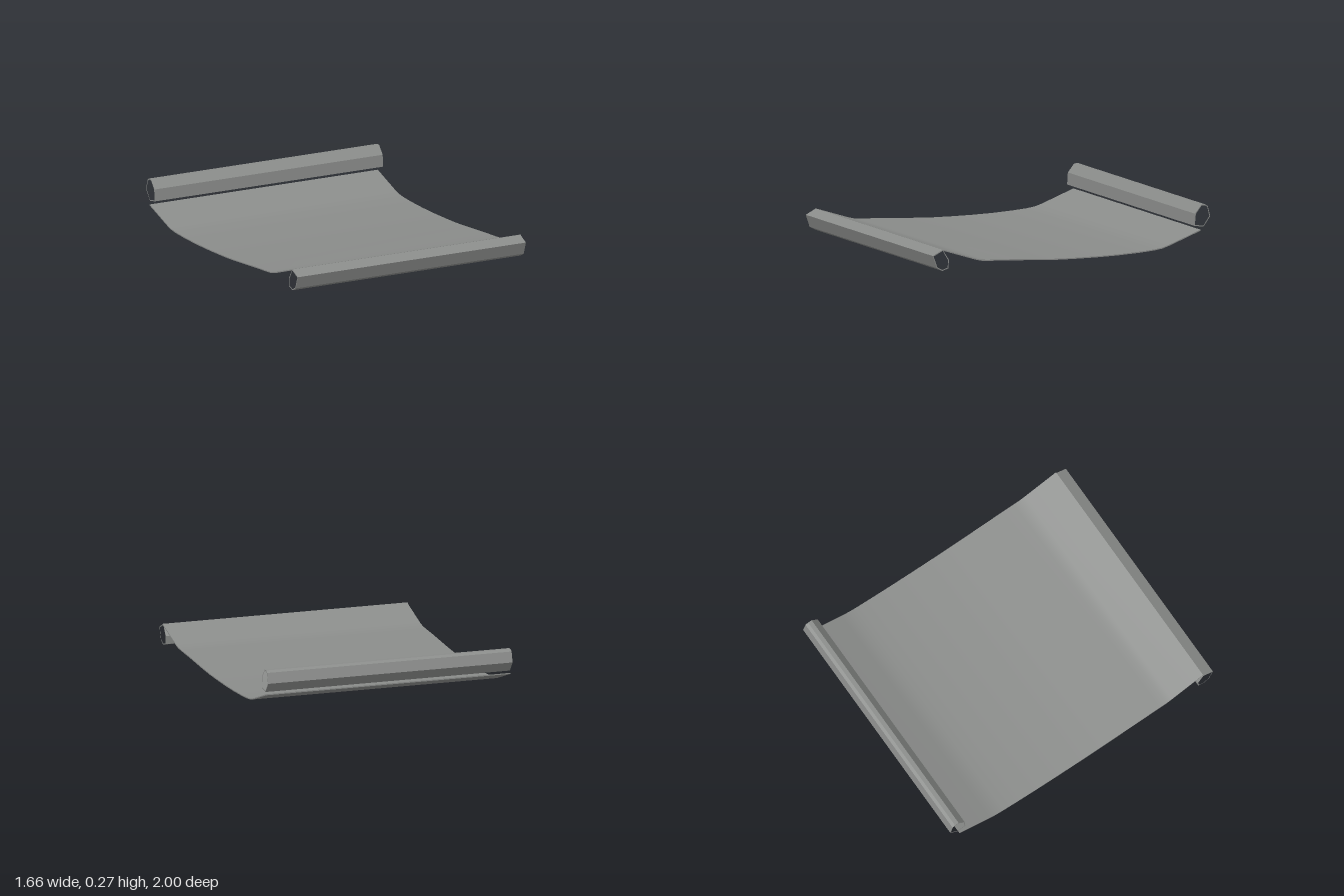
import * as THREE from 'three';
import { toCreasedNormals } from 'three/addons/utils/BufferGeometryUtils.js';

const THICK = 0.007;

// Profiles are [z, y] points; they are drawn in a plane and extruded along x.
const toPlane = (points) => points.map(([z, y]) => new THREE.Vector2(-z, y));

function extrudeAlongX(shape, x0, x1) {
  const geometry = new THREE.ExtrudeGeometry(shape, { depth: x1 - x0, bevelEnabled: false });
  geometry.rotateY(Math.PI / 2);
  geometry.translate(x0, 0, 0);
  return geometry;
}

// Hollow faceted tube: the inner wall is the outline shrunk towards its centre
function rollGeometry(profile, x0, x1) {
  const outer = toPlane(profile);
  const centre = outer.reduce((sum, p) => sum.add(p), new THREE.Vector2()).divideScalar(outer.length);
  const inner = outer.map((p) => p.clone().lerp(centre, THICK / p.distanceTo(centre)));
  const shape = new THREE.Shape(outer);
  shape.holes.push(new THREE.Path(inner));
  return extrudeAlongX(shape, x0, x1);
}

// Thin sagging sheet with smooth top and bottom
function sheetGeometry(profile, x0, x1) {
  const top = toPlane(profile);
  const bottom = top.map((p) => new THREE.Vector2(p.x, p.y - THICK)).reverse();
  return toCreasedNormals(extrudeAlongX(new THREE.Shape([...top, ...bottom]), x0, x1), 0.6);
}

export function createModel() {
  const model = new THREE.Group();
  model.name = 'unrolledScroll';

  const grey = new THREE.MeshStandardMaterial({ color: 0x8a8c8a });
  grey.name = 'grey';

  const add = (name, geometry) => {
    const mesh = new THREE.Mesh(geometry, grey);
    mesh.name = name;
    model.add(mesh);
  };

  // Sheet, from its front edge to its back edge
  add('sheet', sheetGeometry([
    [0.928, 0.15], [0.69, 0.071], [0.65, 0.061], [0.6, 0.056], [0.45, 0.046], [0.2, 0.025], [0.08, 0.017],
    [-0.05, 0.012], [-0.2, 0.008], [-0.35, 0.007], [-0.5, 0.01], [-0.6, 0.015], [-0.66, 0.022],
    [-0.71, 0.036], [-0.935, 0.112],
  ], -0.83, 0.82));

  // Curled ends
  add('frontRoll', rollGeometry([
    [0.928, 0.149], [0.883, 0.08], [0.888, 0.026], [0.932, 0.013], [0.972, 0.035], [1.0, 0.115],
  ], -0.835, 0.815));
  add('backRoll', rollGeometry([
    [-0.889, 0.22], [-0.935, 0.274], [-0.963, 0.274], [-0.982, 0.262], [-1.0, 0.195],
    [-0.95, 0.131], [-0.884, 0.143],
  ], -0.82, 0.83));

  return model;
}
